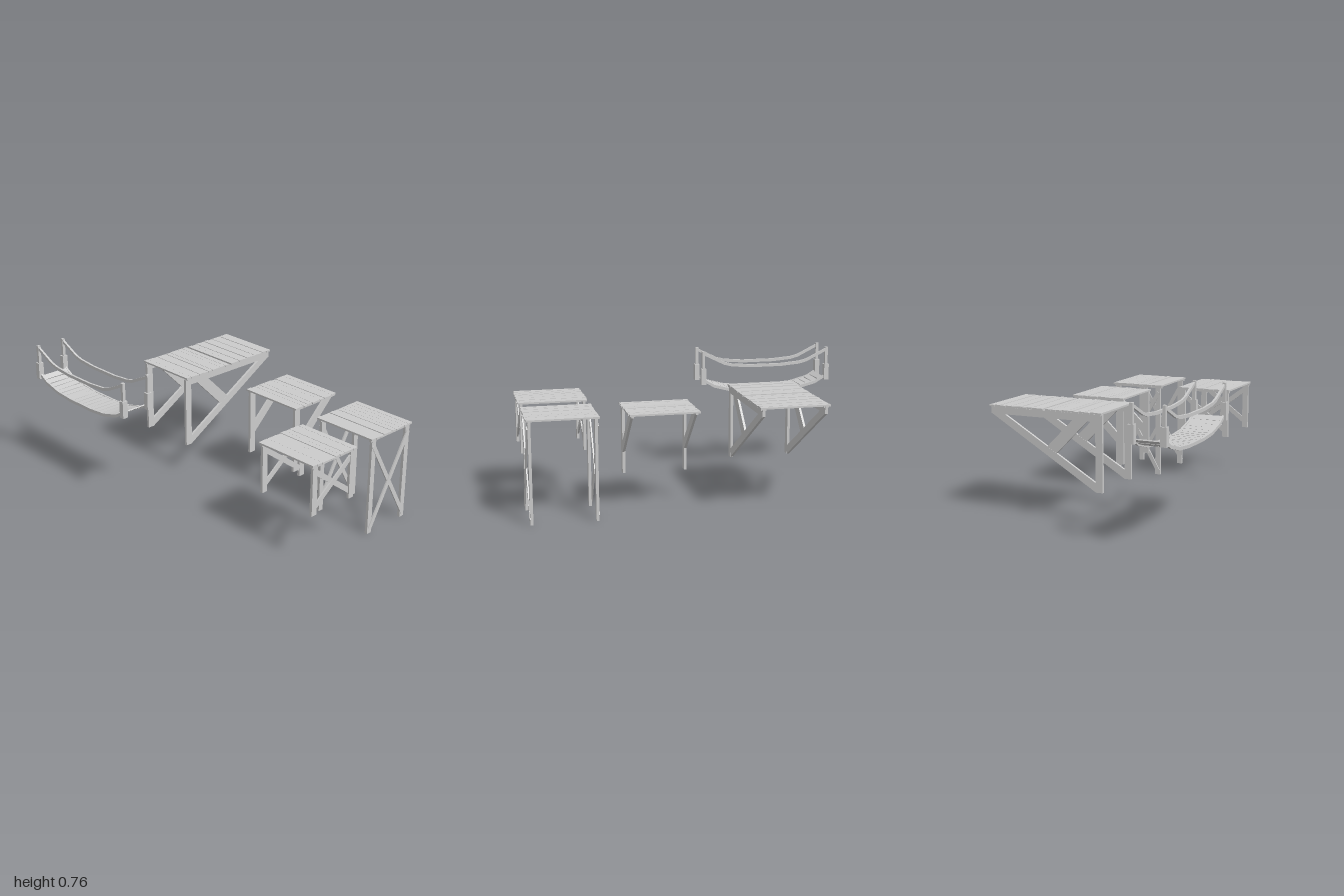
import * as THREE from 'three';

const material = new THREE.MeshStandardMaterial({ color: 0xcccccc, flatShading: true });

let seed = 7;
const jitter = (amount) => {
  seed = (seed * 16807) % 2147483647;
  return (seed / 2147483647 - 0.5) * 2 * amount;
};

function box(parent, name, w, h, d, x, y, z) {
  const mesh = new THREE.Mesh(new THREE.BoxGeometry(w, h, d), material);
  mesh.name = name;
  mesh.position.set(x, y, z);
  parent.add(mesh);
  return mesh;
}

// Timber lying in the xy plane between two points
function brace(parent, name, x1, y1, x2, y2, width, z, depth = 0.016) {
  const mesh = box(parent, name, Math.hypot(x2 - x1, y2 - y1), width, depth, (x1 + x2) / 2, (y1 + y2) / 2, z);
  mesh.rotation.z = Math.atan2(y2 - y1, x2 - x1);
}

// Diagonal with plumb-cut ends, given as a polygon in the xy plane
function cutBrace(parent, name, corners, z, depth = 0.016) {
  const shape = new THREE.Shape(corners.map(([x, y]) => new THREE.Vector2(x, y)));
  const geometry = new THREE.ExtrudeGeometry(shape, { depth, bevelEnabled: false });
  const mesh = new THREE.Mesh(geometry, material);
  mesh.name = name;
  mesh.position.z = z - depth / 2;
  parent.add(mesh);
}

// Plank deck: boards run along z with slightly uneven ends and heights
function deck(parent, x1, x2, z, top, length = 0.393, count = 10) {
  const group = new THREE.Group();
  group.name = 'deck';
  const w = (x2 - x1) / count;
  for (let i = 0; i < count; i++) {
    const plank = box(group, 'plank', w - 0.0012, 0.01, length + jitter(0.004),
      x1 + (i + 0.5) * w, top - 0.006 + jitter(0.0015), z + jitter(0.002));
    plank.rotation.z = jitter(0.03);
  }
  parent.add(group);
}

// Four-legged platform with a crossed brace on its front and back
function crossPlatform(name, x1, x2, legs, legW, bottom, z, cross, crossW, braceOut) {
  const group = new THREE.Group();
  group.name = name;
  deck(group, x1, x2, z, 0.582);
  for (const side of [-1, 1]) {
    const lz = z + side * 0.179;
    for (const x of legs) box(group, 'leg', legW, 0.571 - bottom, 0.016, x, (0.571 + bottom) / 2, lz);
    box(group, 'deckBeam', x2 - x1 - 0.008, 0.011, 0.016, (x1 + x2) / 2, 0.567, lz);
    const [ax, ay, bx, by] = cross;
    brace(group, 'crossBrace', ax, ay, bx, by, crossW, lz + side * braceOut, 0.008);
    brace(group, 'crossBrace', ax, by, bx, ay, crossW, lz + side * (braceOut - 0.003), 0.008);
  }
  return group;
}

// Two-legged bracket platform held by one diagonal per side
function bracketPlatform() {
  const group = new THREE.Group();
  group.name = 'bracketPlatform';
  const z = 0.247;
  deck(group, 0.124, 0.463, z, 0.582);
  for (const side of [-1, 1]) {
    const lz = z + side * 0.178;
    box(group, 'leg', 0.041, 0.391, 0.016, 0.15, 0.3755, lz);
    box(group, 'deckBeam', 0.331, 0.011, 0.016, 0.2935, 0.567, lz);
    cutBrace(group, 'diagonalBrace', [[0.165, 0.30], [0.44, 0.566], [0.372, 0.566], [0.165, 0.365]], lz, 0.014);
  }
  return group;
}

// Long overhanging platform made of two decks on triangular frames
function longPlatform() {
  const group = new THREE.Group();
  group.name = 'longPlatform';
  const z = -0.44;
  deck(group, -0.08, 0.262, z, 0.619);
  deck(group, 0.278, 0.615, z, 0.619);
  for (const side of [-1, 1]) {
    const lz = z + side * 0.177;
    box(group, 'leg', 0.042, 0.425, 0.016, -0.059, 0.3925, lz);
    box(group, 'deckBeam', 0.69, 0.041, 0.016, 0.266, 0.587, lz);
    cutBrace(group, 'longDiagonal',
      [[-0.04, 0.18], [0.611, 0.57], [0.53, 0.57], [-0.04, 0.232]], lz, 0.015);
    cutBrace(group, 'shortDiagonal',
      [[0.01, 0.568], [0.2, 0.375], [0.262, 0.405], [0.1, 0.568]], lz, 0.013);
    box(group, 'deckBatten', 0.68, 0.008, 0.03, 0.266, 0.604, lz);
  }
  return group;
}

// Sagging strip of square section swept through (z, y) points
function strip(parent, name, points, x, width, height) {
  const shape = new THREE.Shape();
  points.forEach(([z, y], i) => (i ? shape.lineTo(-z, y + height / 2) : shape.moveTo(-z, y + height / 2)));
  [...points].reverse().forEach(([z, y]) => shape.lineTo(-z, y - height / 2));
  const mesh = new THREE.Mesh(new THREE.ExtrudeGeometry(shape, { depth: width, bevelEnabled: false }), material);
  mesh.name = name;
  mesh.rotation.y = Math.PI / 2;
  mesh.position.x = x - width / 2;
  parent.add(mesh);
}

function hangingBridge() {
  const group = new THREE.Group();
  group.name = 'hangingBridge';
  const midX = -0.515, midZ = -0.585;
  const half = [[0.4, 0.578], [0.33, 0.537], [0.22, 0.508], [0.1, 0.498]];
  const railHalf = [[0.4, 0.744], [0.27, 0.68], [0.22, 0.667], [0.1, 0.657]];
  const mirrored = (pts) => [
    ...pts.map(([z, y]) => [midZ + z, y]),
    ...[...pts].reverse().map(([z, y]) => [midZ - z, y]),
  ];
  const floor = mirrored(half);
  for (const side of [-1, 1]) {
    const x = midX + side * 0.0885;
    strip(group, 'floorRope', floor, x, 0.012, 0.018);
    strip(group, 'handRail', mirrored(railHalf), x, 0.013, 0.018);
    for (const end of [-1, 1]) {
      box(group, 'post', 0.018, 0.207, 0.018, x, 0.6535, midZ + end * 0.4);
      box(group, 'postSleeve', 0.034, 0.1, 0.03, x, 0.6, midZ + end * 0.4);
    }
  }
  // Floor slats follow the sag of the ropes
  const curve = new THREE.CatmullRomCurve3(floor.map(([z, y]) => new THREE.Vector3(midX, y, z)));
  const count = 20;
  for (let i = 0; i < count; i++) {
    const t = 0.025 + (0.95 * (i + 0.5)) / count;
    const p = curve.getPointAt(t), d = curve.getTangentAt(t);
    const slat = box(group, 'slat', 0.178, 0.007, 0.036 + jitter(0.003), midX, p.y + 0.005, p.z);
    slat.rotation.set(Math.atan2(d.y, -d.z), jitter(0.02), 0);
  }
  return group;
}

export function createModel() {
  const model = new THREE.Group();
  model.name = 'woodenPlatforms';
  model.add(
    crossPlatform('lowPlatform', -0.333, 0.006, [-0.305, -0.0165], 0.036, 0.285, 0.8,
      [-0.3, 0.325, -0.02, 0.535], 0.03, 0.001),
    crossPlatform('tallPlatform', 0.124, 0.463, [0.1545, 0.4365], 0.033, 0, 0.8,
      [0.15, 0.025, 0.441, 0.535], 0.025, 0.01),
    bracketPlatform(),
    longPlatform(),
    hangingBridge(),
  );
  return model;
}
